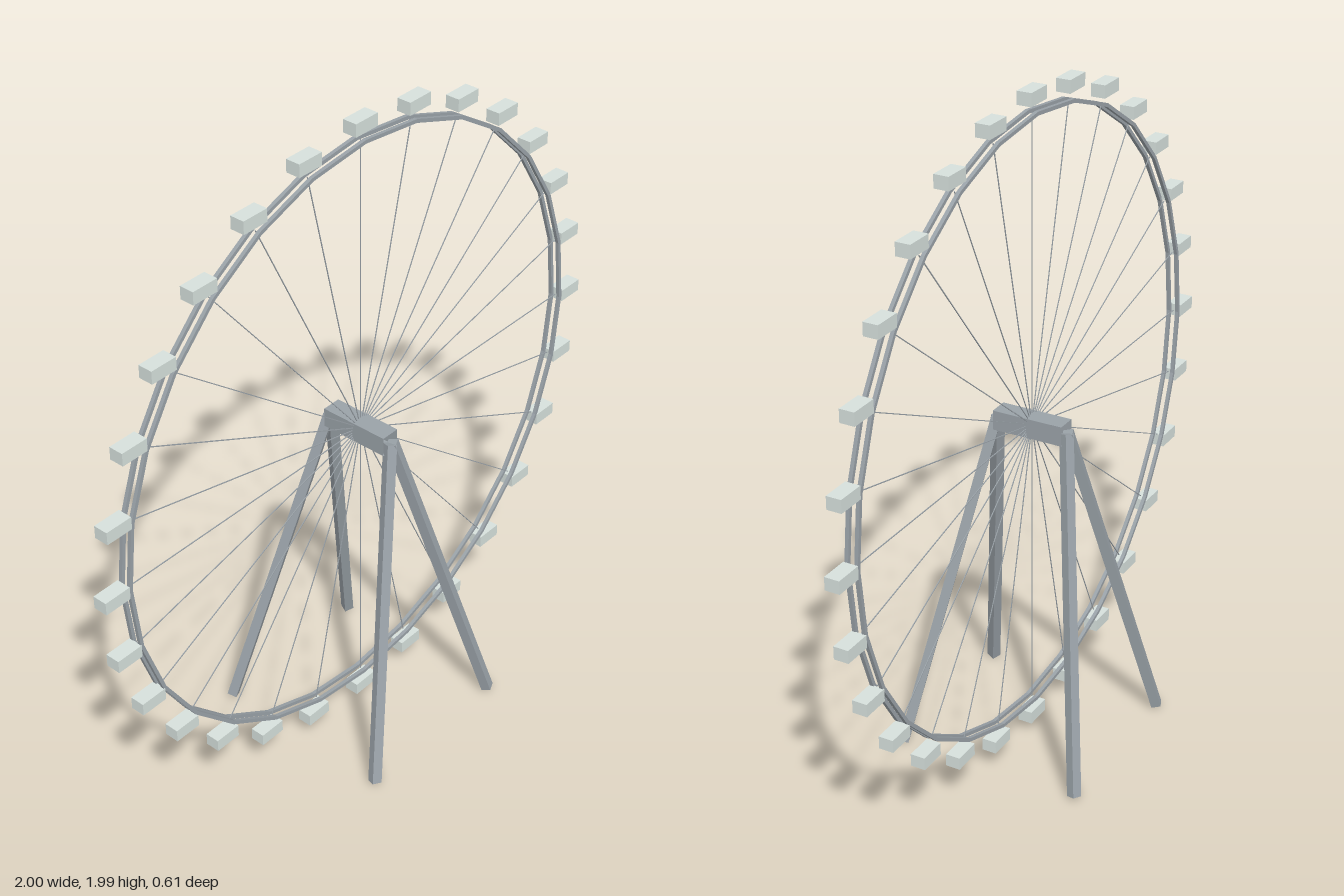
import * as THREE from 'three';

const COUNT = 28, HUB_Y = 1.008, RIM_R = 0.91, CABIN_R = 0.958;
const steel = new THREE.MeshStandardMaterial({ color: 0x9aa2a8, flatShading: true, side: THREE.DoubleSide });
const cabinPaint = new THREE.MeshStandardMaterial({ color: 0xd6e0dc, flatShading: true });

// Straight square bar between two points
function bar(name, a, b, width) {
  const dir = b.clone().sub(a);
  const mesh = new THREE.Mesh(new THREE.BoxGeometry(width, dir.length(), width), steel);
  mesh.position.copy(a).add(b).multiplyScalar(0.5);
  mesh.quaternion.setFromUnitVectors(new THREE.Vector3(0, 1, 0), dir.normalize());
  mesh.name = name;
  return mesh;
}

// Point on a circle around the axle, starting at the top
function around(i, r) {
  const t = (i / COUNT) * Math.PI * 2;
  return new THREE.Vector3(Math.sin(t) * r, HUB_Y + Math.cos(t) * r, 0);
}

export function createModel() {
  const model = new THREE.Group();
  model.name = 'ferrisWheel';

  const wheel = new THREE.Group();
  wheel.name = 'wheel';
  model.add(wheel);

  // Twin rims of square section, one straight segment per cabin
  const h = 0.0055;
  const section = [[-h, -h], [h, -h], [h, h], [-h, h], [-h, -h]]
    .map(([r, z]) => new THREE.Vector2(RIM_R + r, z));
  const rimGeometry = new THREE.LatheGeometry(section, COUNT).rotateX(-Math.PI / 2);
  for (const z of [-0.0145, 0.0145]) {
    const rim = new THREE.Mesh(rimGeometry, steel);
    rim.name = z > 0 ? 'frontRim' : 'backRim';
    rim.position.set(0, HUB_Y, z);
    wheel.add(rim);
  }

  // Spokes and upright cabins
  const cabinGeometry = new THREE.BoxGeometry(0.084, 0.038, 0.044);
  for (let i = 0; i < COUNT; i++) {
    wheel.add(bar('spoke', around(i, 0.036), around(i, RIM_R), 0.0024));
    const cabin = new THREE.Mesh(cabinGeometry, cabinPaint);
    cabin.name = 'cabin';
    cabin.position.copy(around(i, CABIN_R));
    wheel.add(cabin);
  }

  // Square axle sleeve, open at both ends
  const axleGeometry = new THREE.CylinderGeometry(0.042, 0.042, 0.218, 4, 1, true);
  axleGeometry.rotateY(Math.PI / 4).rotateX(Math.PI / 2);
  const axle = new THREE.Mesh(axleGeometry, steel);
  axle.name = 'axle';
  axle.position.y = HUB_Y;
  model.add(axle);

  // Four splayed square legs
  for (const sz of [1, -1]) {
    for (const sx of [1, -1]) {
      const name = (sz > 0 ? 'front' : 'back') + (sx > 0 ? 'Left' : 'Right') + 'Leg';
      const top = new THREE.Vector3(sx * 0.004, HUB_Y, sz * 0.112);
      const foot = new THREE.Vector3(sx * 0.266, 0.006, sz * 0.286);
      model.add(bar(name, top, foot, 0.029));
    }
  }
  return model;
}
